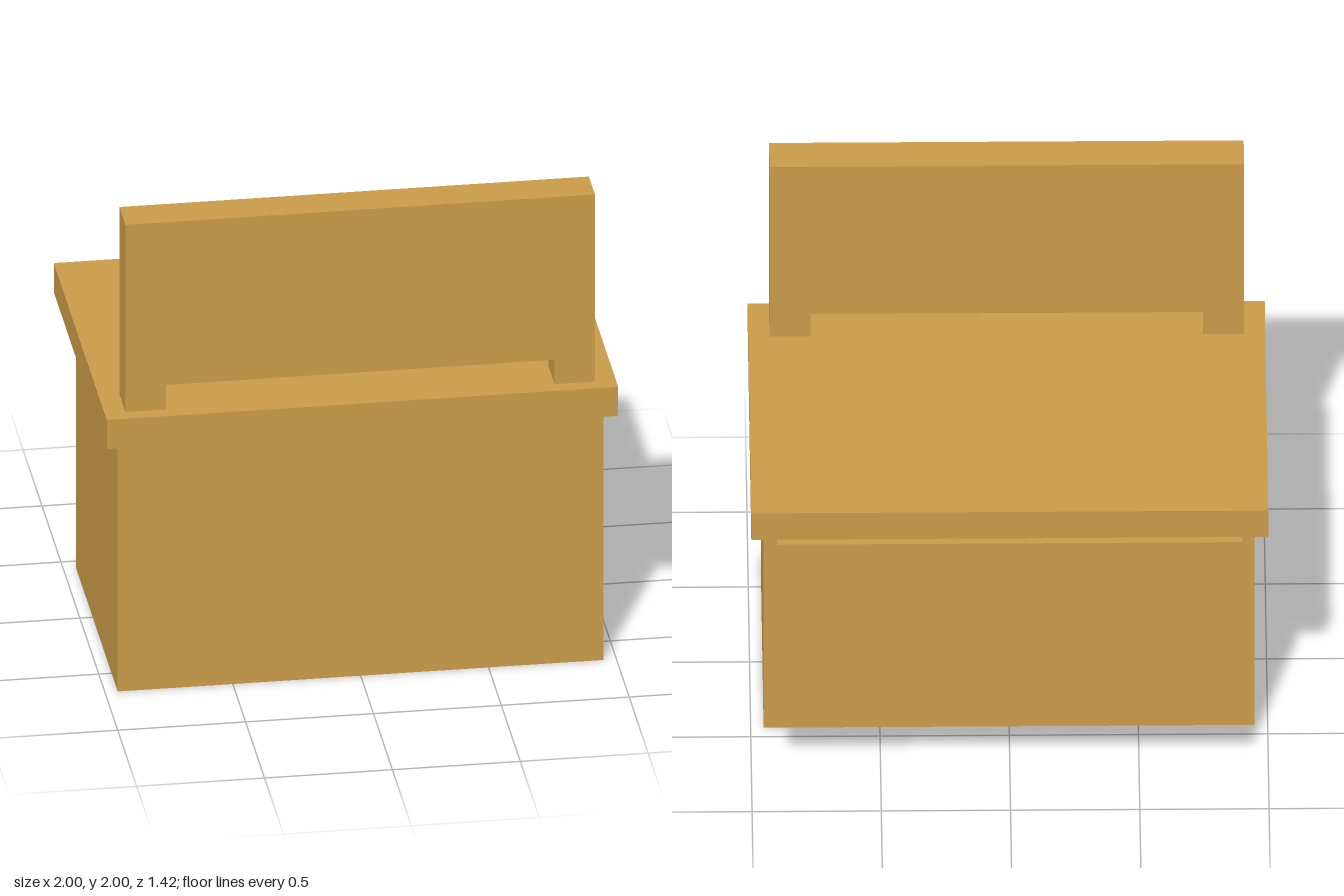
import * as THREE from 'three';

export function createModel() {
  const group = new THREE.Group();
  const wood = new THREE.MeshStandardMaterial({ color: 0xc99a49 });
  wood.name = 'honey wood';

  // Box from its minimum and maximum corners
  const addBox = (name, [x0, y0, z0], [x1, y1, z1]) => {
    const mesh = new THREE.Mesh(new THREE.BoxGeometry(x1 - x0, y1 - y0, z1 - z0), wood);
    mesh.position.set((x0 + x1) / 2, (y0 + y1) / 2, (z0 + z1) / 2);
    mesh.name = name;
    group.add(mesh);
  };

  addBox('body', [-0.95, 0, -0.44], [0.95, 1.07, 0.662]);
  addBox('topSlab', [-1, 1.07, -0.69], [1, 1.195, 0.71]);
  addBox('rearPanel', [-0.9, 0.2, -0.71], [0.9, 1.06, -0.552]);

  // Upright board standing on two short feet, with a slot between them
  const outline = new THREE.Shape([
    [-0.918, 1.195], [-0.76, 1.195], [-0.76, 1.3], [0.76, 1.3],
    [0.76, 1.195], [0.918, 1.195], [0.918, 2], [-0.918, 2],
  ].map(([x, y]) => new THREE.Vector2(x, y)));
  const board = new THREE.Mesh(
    new THREE.ExtrudeGeometry(outline, { depth: 0.16, bevelEnabled: false }), wood);
  board.position.z = 0.49;
  board.name = 'uprightBoard';
  group.add(board);

  return group;
}
